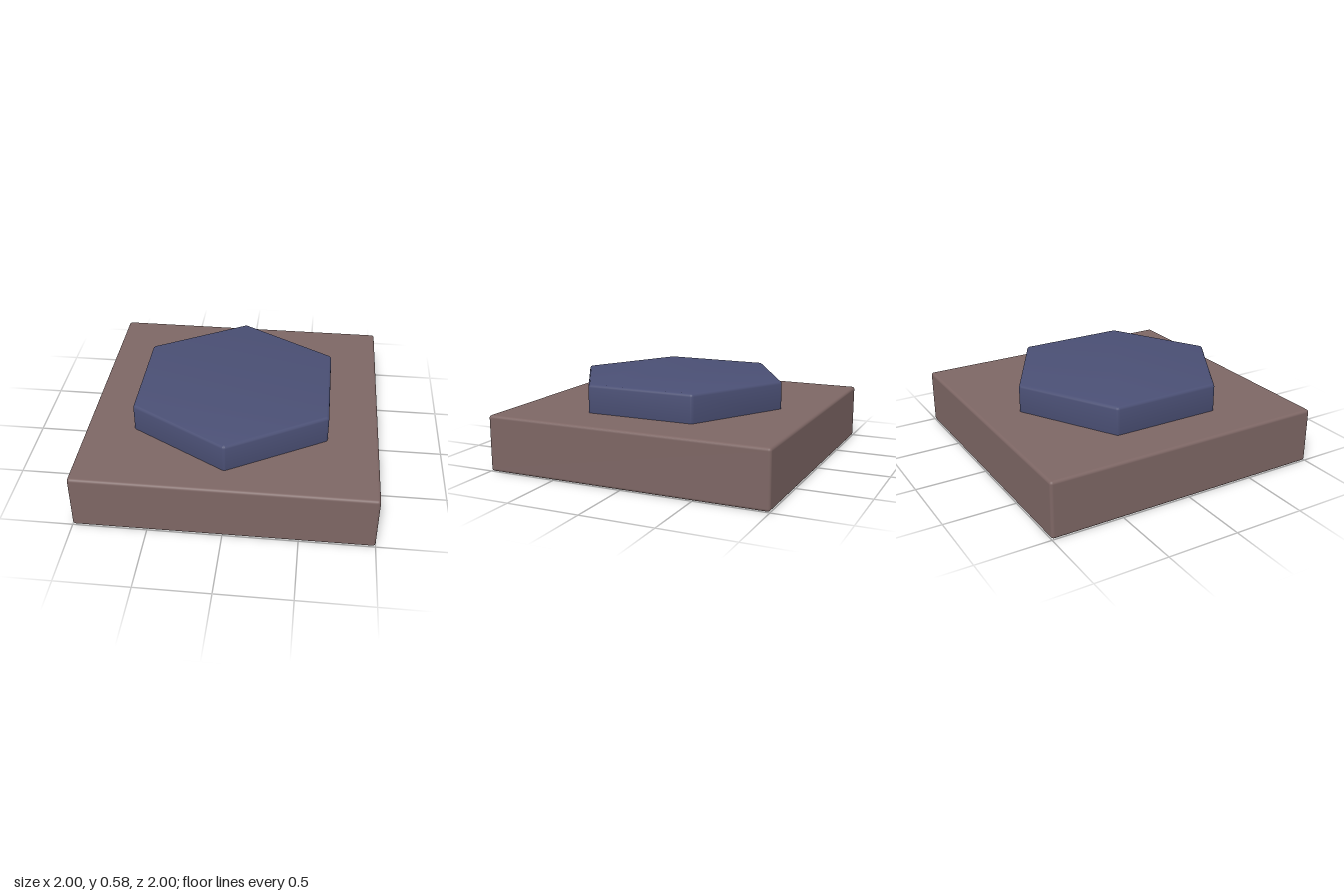
import * as THREE from 'three';
import { RoundedBoxGeometry } from 'three/addons/geometries/RoundedBoxGeometry.js';
import { toCreasedNormals } from 'three/addons/utils/BufferGeometryUtils.js';

// Hexagon with a point on +y and softly rounded corners
function roundedHexagon(apothem, r) {
  const shape = new THREE.Shape();
  const reach = (apothem - r) / Math.cos(Math.PI / 6);
  for (let i = 0; i < 6; i++) {
    const a = Math.PI / 2 + (i * Math.PI) / 3;
    shape.absarc(reach * Math.cos(a), reach * Math.sin(a), r, a - Math.PI / 6, a + Math.PI / 6, false);
  }
  shape.closePath();
  return shape;
}

export function createModel() {
  const model = new THREE.Group();
  model.name = 'hexagonOnBase';

  // Square base slab with eased edges
  const baseHeight = 0.39;
  const base = new THREE.Mesh(
    new RoundedBoxGeometry(2, baseHeight, 2, 3, 0.02),
    new THREE.MeshStandardMaterial({ color: 0x7d6664 })
  );
  base.name = 'base';
  base.position.y = baseHeight / 2;
  model.add(base);

  // Raised hexagonal plate, slightly sunk into the base
  const bevel = 0.02, bottom = 0.34, top = 0.585;
  const plateGeometry = new THREE.ExtrudeGeometry(roundedHexagon(0.663, 0.025), {
    depth: top - bottom - 2 * bevel,
    bevelSize: bevel,
    bevelThickness: bevel,
    bevelOffset: -bevel,
    bevelSegments: 3,
    curveSegments: 4,
  });
  plateGeometry.rotateX(-Math.PI / 2);
  const plate = new THREE.Mesh(
    toCreasedNormals(plateGeometry, 0.6),
    new THREE.MeshStandardMaterial({ color: 0x4a4f74 })
  );
  plate.name = 'hexagonPlate';
  plate.position.set(-0.007, bottom + bevel, 0.04);
  model.add(plate);

  return model;
}
